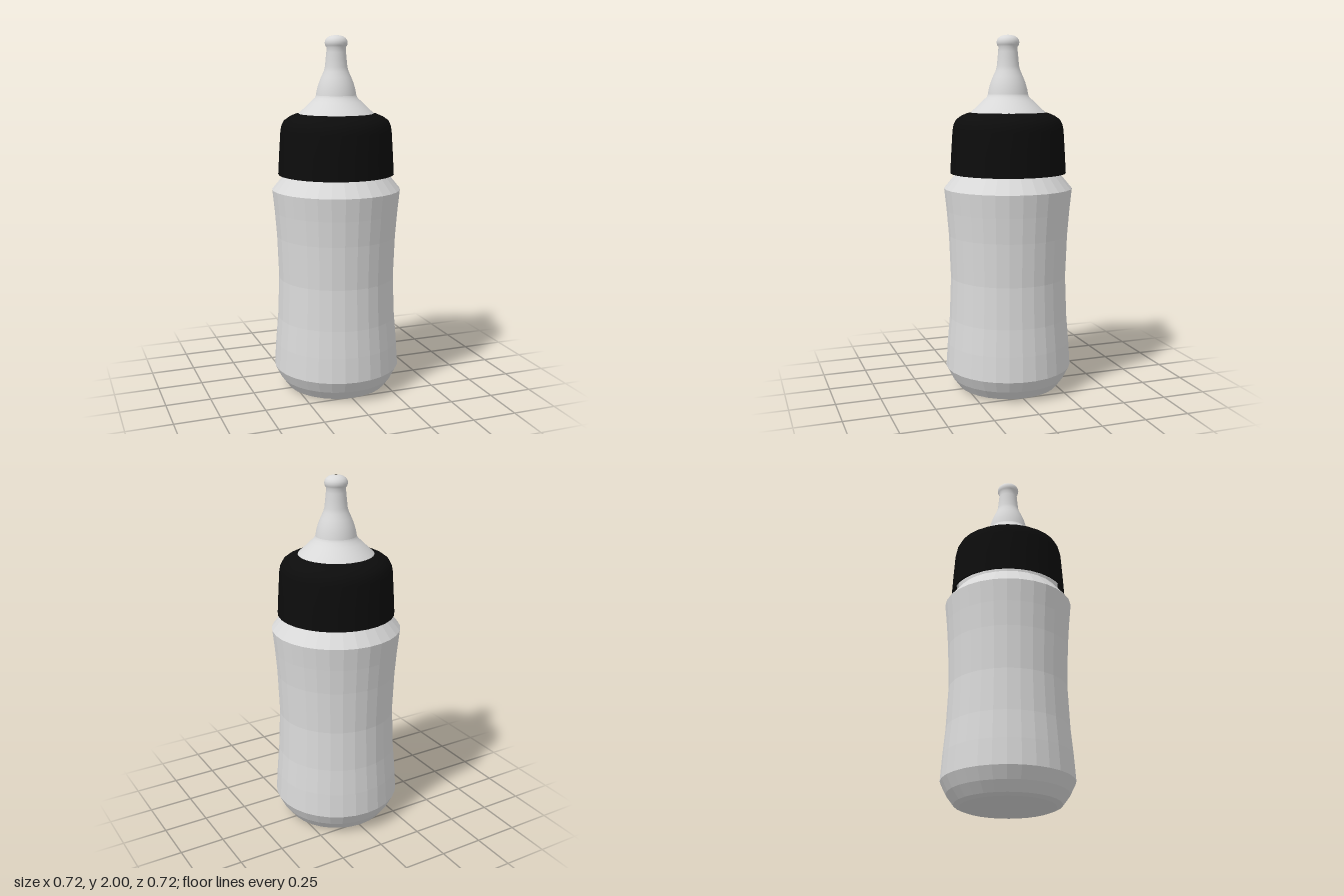
import * as THREE from 'three';

const SIDES = 30;
const vectors = (points) => points.map(([r, y]) => new THREE.Vector2(r, y));

// Surface of revolution from [radius, height] pairs, listed bottom to top
function turned(name, points, material, { flat = false, sides = SIDES } = {}) {
  let geometry = new THREE.LatheGeometry(vectors(points), sides);
  if (flat) {
    geometry = geometry.toNonIndexed();
    geometry.computeVertexNormals();
  }
  const mesh = new THREE.Mesh(geometry, material);
  mesh.name = name;
  return mesh;
}

export function createModel() {
  const model = new THREE.Group();
  model.name = 'feedingBottle';

  const clear = new THREE.MeshStandardMaterial({ color: 0xd9d9d9, side: THREE.DoubleSide });
  clear.name = 'pale grey';
  const black = new THREE.MeshStandardMaterial({ color: 0x0c0c0c, side: THREE.DoubleSide });
  black.name = 'black';

  // Faceted body with a gentle waist, sloping shoulder and neck
  model.add(turned('bottleBody', [
    [0, 0], [0.255, 0], [0.285, 0.012], [0.325, 0.065], [0.358, 0.13],
    [0.349, 0.27], [0.336, 0.42], [0.327, 0.65], [0.336, 0.89],
    [0.347, 1.03], [0.36, 1.155], [0.29, 1.24], [0.285, 1.5],
  ], clear, { flat: true }));

  // Screw thread around the neck, hidden inside the collar
  const turns = 2;
  const helix = [];
  for (let i = 0; i <= 48; i++) {
    const a = (i / 48) * turns * Math.PI * 2;
    helix.push(new THREE.Vector3(0.287 * Math.sin(a), 1.26 + 0.09 * (i / 48) * turns, 0.287 * Math.cos(a)));
  }
  const thread = new THREE.Mesh(
    new THREE.TubeGeometry(new THREE.CatmullRomCurve3(helix), 96, 0.013, 6), clear);
  thread.name = 'neckThread';
  model.add(thread);

  // Screw collar: rounded shell, thin rim and inner wall
  const collar = new THREE.Group();
  collar.name = 'collar';
  collar.add(
    turned('collarShell', [
      [0.325, 1.24], [0.318, 1.36], [0.31, 1.48], [0.304, 1.51], [0.29, 1.538],
      [0.262, 1.558], [0.23, 1.572], [0.205, 1.577],
    ], black),
    turned('collarInside', [[0.2, 1.56], [0.29, 1.52], [0.305, 1.45], [0.316, 1.24]], black),
    turned('collarRim', [[0.316, 1.24], [0.325, 1.24]], black),
  );
  model.add(collar);

  // Soft teat: flared skirt, domed shoulder, slim stem and round tip
  model.add(turned('teatSkirt', [
    [0.21, 1.572], [0.207, 1.579], [0.175, 1.608], [0.14, 1.642], [0.118, 1.662], [0.112, 1.676],
  ], clear, { sides: 40 }));
  model.add(turned('teat', [
    [0.112, 1.676], [0.107, 1.705], [0.097, 1.74], [0.083, 1.775], [0.069, 1.805],
    [0.062, 1.83], [0.058, 1.87], [0.054, 1.91], [0.053, 1.935],
    [0.06, 1.945], [0.063, 1.958], [0.061, 1.972], [0.052, 1.985],
    [0.036, 1.995], [0.018, 1.999], [0.007, 2],
  ], clear, { sides: 40 }));

  // Small feeding hole at the tip
  const hole = new THREE.Mesh(new THREE.CylinderGeometry(0.007, 0.007, 0.004, 16), black);
  hole.name = 'feedingHole';
  hole.position.y = 1.997;
  model.add(hole);

  return model;
}
